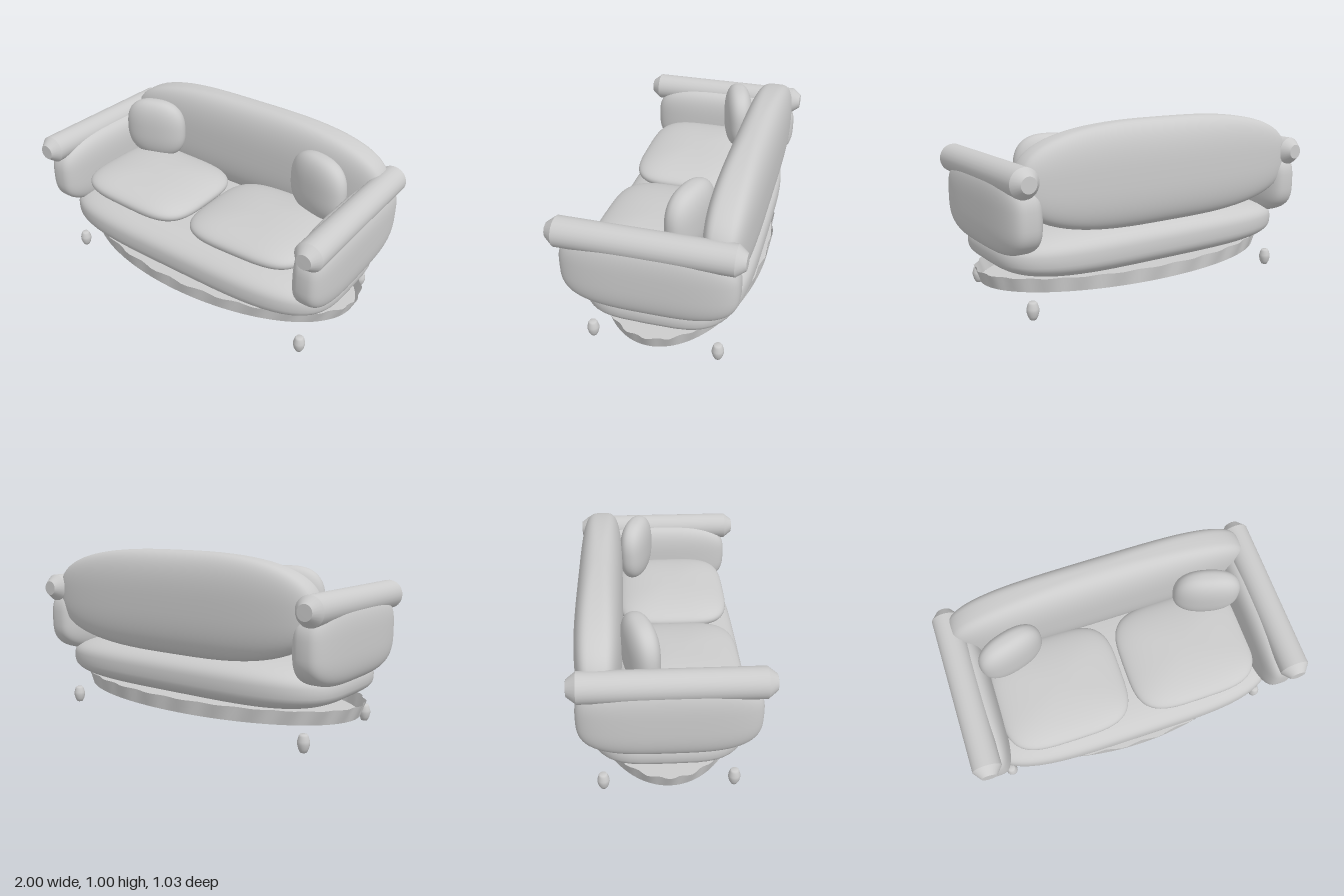
import * as THREE from 'three';

const material = new THREE.MeshStandardMaterial({ color: 0xcccccc, side: THREE.DoubleSide });
const spow = (v, p) => Math.sign(v) * Math.pow(Math.abs(v) < 1e-9 ? 0 : Math.abs(v), p);

// Puffy upholstery: a superellipsoid with half sizes a, b, c.
// nv is the boxiness of the vertical section, nh that of the plan.
function puffGeometry([a, b, c], nv, nh) {
  const geometry = new THREE.SphereGeometry(1, 64, 40);
  const pos = geometry.attributes.position, nor = geometry.attributes.normal;
  const n = new THREE.Vector3();
  for (let i = 0; i < pos.count; i++) {
    const y = pos.getY(i), r = Math.hypot(pos.getX(i), pos.getZ(i));
    const cx = r > 1e-6 ? pos.getX(i) / r : 1, cz = r > 1e-6 ? pos.getZ(i) / r : 0;
    const ring = spow(r, 2 / nv), ringN = spow(r, 2 - 2 / nv);
    n.set(
      ringN * spow(cx, 2 - 2 / nh) / a,
      spow(y, 2 - 2 / nv) / b,
      ringN * spow(cz, 2 - 2 / nh) / c
    ).normalize();
    pos.setXYZ(i, a * ring * spow(cx, 2 / nh), b * spow(y, 2 / nv), c * ring * spow(cz, 2 / nh));
    nor.setXYZ(i, n.x, n.y, n.z);
  }
  return geometry;
}

function addMesh(group, name, geometry, position = [0, 0, 0], rotation = [0, 0, 0]) {
  const mesh = new THREE.Mesh(geometry, material);
  mesh.name = name;
  mesh.position.set(...position);
  mesh.rotation.set(...rotation);
  group.add(mesh);
  return mesh;
}

// Oval pleated skirt flaring towards its top
function skirtGeometry() {
  const geometry = new THREE.CylinderGeometry(1, 1, 0.08, 128, 1, true);
  const pos = geometry.attributes.position;
  for (let i = 0; i < pos.count; i++) {
    const x = pos.getX(i), z = pos.getZ(i), top = pos.getY(i) > 0;
    const angle = Math.atan2(z, x);
    const pleat = top ? 0.008 * (Math.cos(26 * angle) - 1) : 0;
    pos.setX(i, x * ((top ? 0.985 : 0.95) + pleat));
    pos.setZ(i, z * ((top ? 0.49 : 0.475) + pleat));
  }
  geometry.computeVertexNormals();
  return geometry;
}

// Lathe from [radius, height] pairs, kept crisp at the listed corners
function turned(points, segments) {
  return new THREE.LatheGeometry(points.map(([r, y]) => new THREE.Vector2(r, y)), segments);
}

export function createModel() {
  const sofa = new THREE.Group();
  sofa.name = 'sofa';

  // Skirt and its flat underside
  addMesh(sofa, 'skirt', skirtGeometry(), [0, 0.15, -0.01]);
  const underside = addMesh(sofa, 'underside', new THREE.CircleGeometry(1, 96), [0, 0.11, -0.01], [Math.PI / 2, 0, 0]);
  underside.scale.set(0.95, 0.475, 1);

  // Seat base and backrest
  addMesh(sofa, 'seatBase', puffGeometry([0.95, 0.145, 0.472], 3, 4), [0, 0.305, -0.01]);
  addMesh(sofa, 'backrest', puffGeometry([0.91, 0.295, 0.13], 2.7, 4), [0, 0.71, -0.37]);

  const armPad = puffGeometry([0.117, 0.225, 0.475], 3.2, 3.4);
  const seatCushion = puffGeometry([0.385, 0.088, 0.34], 2.2, 3.8);
  const pillow = puffGeometry([0.198, 0.19, 0.088], 2.6, 2.3);
  const foot = turned([[0, 0], [0.018, 0], [0.028, 0.02], [0.034, 0.045], [0.033, 0.06], [0.026, 0.085], [0.02, 0.095], [0, 0.095]], 16);
  // Arm roll with chamfered ends; doubled points keep the edges sharp
  const e = 0.0005;
  const roll = turned([
    [0, -0.515], [0.043, -0.515], [0.043 + e, -0.515 + e],
    [0.082 - e, -0.465 - e], [0.082, -0.465], [0.082, 0.465], [0.082 - e, 0.465 + e],
    [0.043 + e, 0.515 - e], [0.043, 0.515], [0, 0.515],
  ], 24);

  // Mirrored parts
  for (const [side, s] of [['left', 1], ['right', -1]]) {
    addMesh(sofa, side + 'ArmPad', armPad, [s * 0.882, 0.55, -0.01]);
    addMesh(sofa, side + 'ArmRoll', roll, [s * 0.907, 0.743, 0], [Math.PI / 2, 0, 0]);
    addMesh(sofa, side + 'SeatCushion', seatCushion, [s * 0.397, 0.516, 0.07], [0, 0, s * 0.03]);
    addMesh(sofa, side + 'Pillow', pillow, [s * 0.602, 0.742, -0.15], [0, -s * 0.28, 0]);
    addMesh(sofa, side + 'FrontFoot', foot, [s * 0.833, 0, 0.35]);
    addMesh(sofa, side + 'BackFoot', foot, [s * 0.833, 0, -0.365]);
  }
  return sofa;
}
